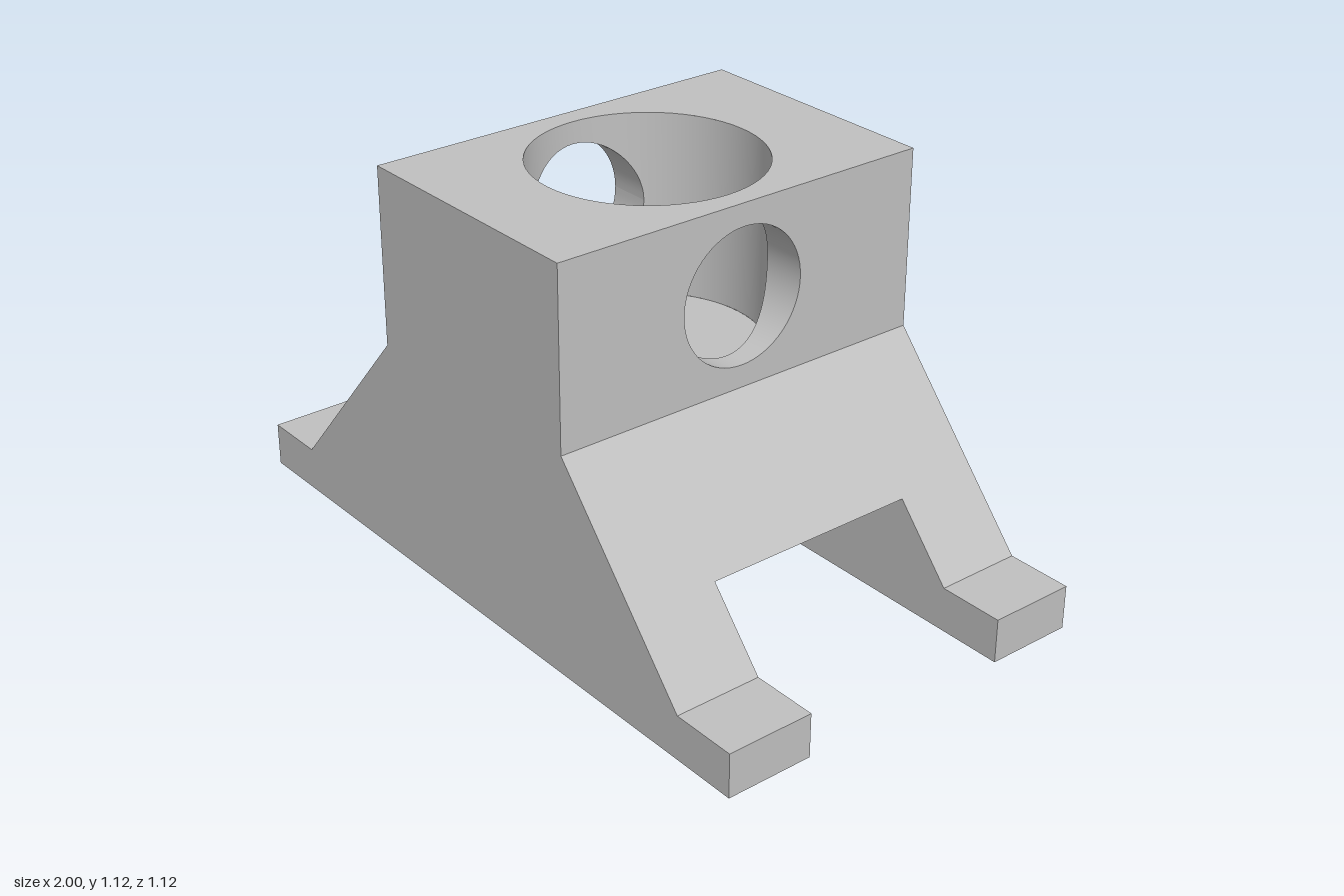
import * as THREE from 'three';

const W = 0.5625, SLOT = 0.3125;           // half depth, half slot width (also the slot height)
const TOP = 1.125, SHOULDER = 0.625, FOOT = 0.125;
const HEAD_X = 0.375, SLOPE_X = 0.8125;    // half width of head, foot of slope
const BORE = 0.3125, FLOOR = 0.6;          // vertical blind bore
const HOLE = 0.1875, HOLE_Y = 0.875;       // horizontal cross hole
const SLOT_X = SLOPE_X - (SLOPE_X - HEAD_X) * (SLOT - FOOT) / (SHOULDER - FOOT);

const V = (x, y, z) => new THREE.Vector3(x, y, z);
const RIGHT = V(1, 0, 0), LEFT = V(-1, 0, 0), UP = V(0, 1, 0), FRONT = V(0, 0, 1), BACK = V(0, 0, -1);

const polygon = pts => new THREE.Shape(pts.map(p => new THREE.Vector2(...p)));
const rect = (x0, y0, x1, y1) => polygon([[x0, y0], [x1, y0], [x1, y1], [x0, y1]]);

// Right half of an outline mirrored to a symmetric polygon
const mirrored = half => polygon([...half, ...half.map(([x, y]) => [-x, y]).reverse()]);

function withHole(shape, x, y, r) {
  const hole = new THREE.Path();
  hole.absarc(x, y, r, 0, Math.PI * 2, true);
  shape.holes.push(hole);
  return shape;
}

export function createModel() {
  const grey = new THREE.MeshStandardMaterial({ color: 0xc0c0c0, side: THREE.DoubleSide });
  grey.name = 'grey';

  function add(parent, name, geometry) {
    const mesh = new THREE.Mesh(geometry, grey);
    mesh.name = name;
    parent.add(mesh);
  }

  // Flat face lying in the plane spanned by xAxis and yAxis
  function face(parent, name, shape, origin, xAxis, yAxis) {
    const normal = xAxis.clone().cross(yAxis);
    const matrix = new THREE.Matrix4().makeBasis(xAxis, yAxis, normal).setPosition(origin);
    add(parent, name, new THREE.ShapeGeometry(shape, 32).applyMatrix4(matrix));
  }

  // Smooth strip between two curves p(t) and q(t)
  function ribbon(parent, name, t0, t1, n, p, q) {
    const pos = [], index = [];
    for (let i = 0; i <= n; i++) {
      const t = t0 + (t1 - t0) * i / n;
      pos.push(...p(t), ...q(t));
      if (i < n) index.push(2 * i, 2 * i + 2, 2 * i + 1, 2 * i + 1, 2 * i + 2, 2 * i + 3);
    }
    const g = new THREE.BufferGeometry();
    g.setAttribute('position', new THREE.Float32BufferAttribute(pos, 3));
    g.setIndex(index);
    g.computeVertexNormals();
    add(parent, name, g);
  }

  // One half: the +z face and the +x side; the other half is this turned by 180 degrees
  function buildHalf(name) {
    const half = new THREE.Group();
    half.name = name;

    const profile = mirrored([[1, 0], [1, FOOT], [SLOPE_X, FOOT], [HEAD_X, SHOULDER], [HEAD_X, TOP]]);
    face(half, 'outerFace', profile, V(0, 0, W), RIGHT, UP);
    const slotProfile = mirrored([[1, 0], [1, FOOT], [SLOPE_X, FOOT], [SLOT_X, SLOT]]);
    face(half, 'slotWall', slotProfile, V(0, 0, SLOT), LEFT, UP);
    face(half, 'railUnderside', rect(-1, SLOT, 1, W), V(0, 0, 0), RIGHT, FRONT);

    // Feet
    for (const [a, b] of [[-W, -SLOT], [SLOT, W]]) {
      face(half, 'footTip', rect(a, 0, b, FOOT), V(1, 0, 0), BACK, UP);
      face(half, 'footTop', rect(SLOPE_X, a, 1, b), V(0, FOOT, 0), RIGHT, BACK);
    }

    // Sloping shoulder, notched by the slot
    const along = V(HEAD_X - SLOPE_X, SHOULDER - FOOT, 0), len = along.length();
    const notch = len * (SLOT - FOOT) / (SHOULDER - FOOT);
    face(half, 'slope', mirrored([[SLOT, notch], [SLOT, 0], [W, 0], [W, len]]),
      V(SLOPE_X, FOOT, 0), BACK, along.normalize());

    // Head side with the cross hole
    face(half, 'headSide', withHole(rect(-W, SHOULDER, W, TOP), 0, HOLE_Y, HOLE),
      V(HEAD_X, 0, 0), BACK, UP);

    // Tunnel from the head side to the bore
    const boreX = z => Math.sqrt(BORE * BORE - z * z);
    const ring = (x, t) => [x ?? boreX(HOLE * Math.cos(t)), HOLE_Y + HOLE * Math.sin(t), HOLE * Math.cos(t)];
    ribbon(half, 'crossHole', 0, Math.PI * 2, 64, t => ring(null, t), t => ring(HEAD_X, t));

    // Bore wall: plain part, then the bands below and above the cross hole
    const gap = Math.asin(HOLE / BORE);
    const onBore = (a, y) => [BORE * Math.cos(a), y, BORE * Math.sin(a)];
    ribbon(half, 'boreWall', gap, Math.PI - gap, 36, a => onBore(a, FLOOR), a => onBore(a, TOP));
    const band = (t, y) => [boreX(HOLE * Math.cos(t)), y, -HOLE * Math.cos(t)];
    ribbon(half, 'boreWallBelowHole', 0, Math.PI, 32,
      t => band(t, FLOOR), t => band(t, HOLE_Y - HOLE * Math.sin(t)));
    ribbon(half, 'boreWallAboveHole', 0, Math.PI, 32,
      t => band(t, HOLE_Y + HOLE * Math.sin(t)), t => band(t, TOP));
    return half;
  }

  const model = new THREE.Group();
  model.name = 'bearingBracket';
  const first = buildHalf('frontLeftHalf'), second = buildHalf('backRightHalf');
  second.rotation.y = Math.PI;
  model.add(first, second);

  // Shared horizontal faces
  face(model, 'headTop', withHole(rect(-HEAD_X, -W, HEAD_X, W), 0, 0, BORE), V(0, TOP, 0), RIGHT, BACK);
  face(model, 'boreFloor', new THREE.Shape().absarc(0, 0, BORE, 0, Math.PI * 2), V(0, FLOOR, 0), RIGHT, BACK);
  face(model, 'slotCeiling', rect(-SLOT_X, -SLOT, SLOT_X, SLOT), V(0, SLOT, 0), RIGHT, FRONT);
  return model;
}
